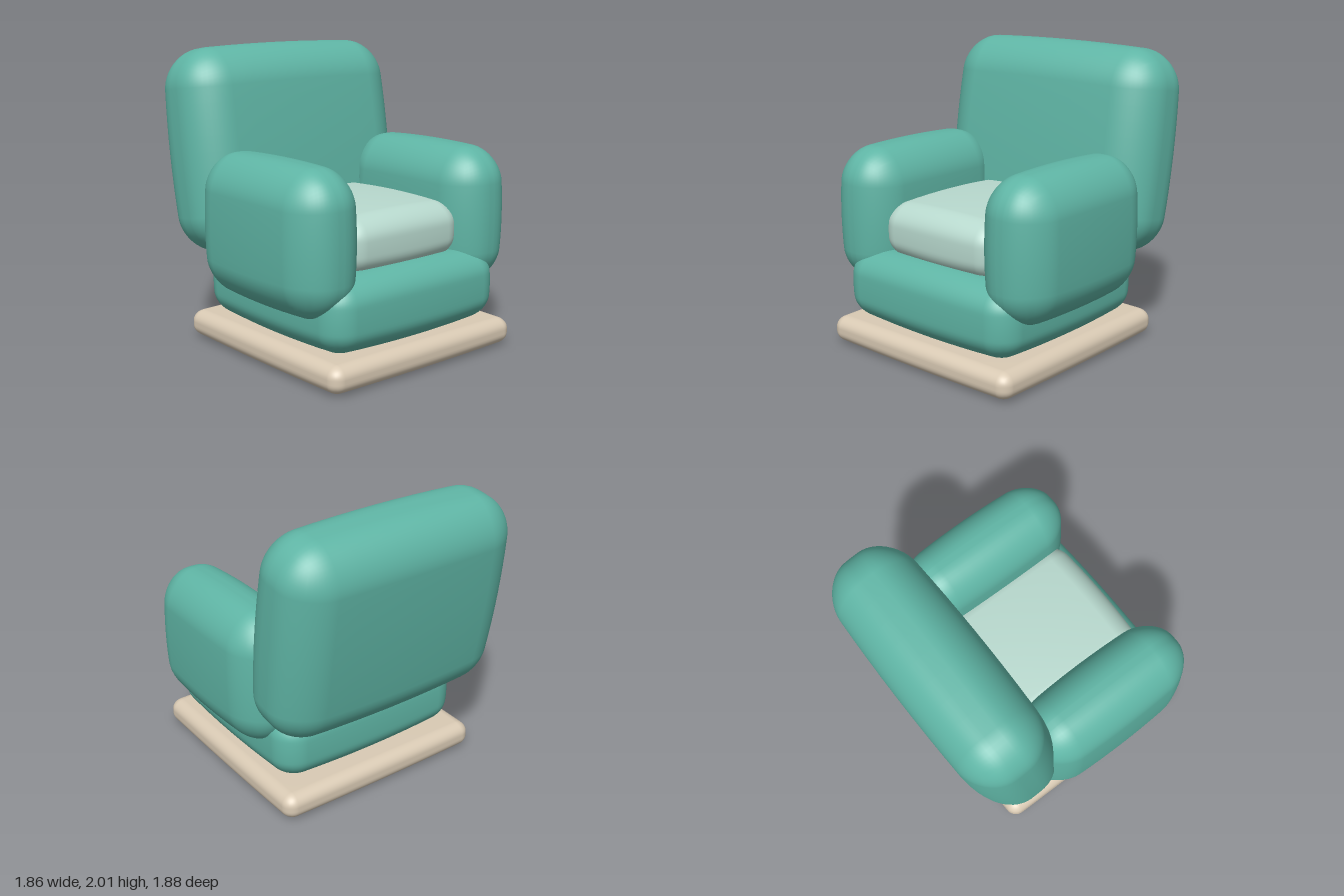
import * as THREE from 'three';
import { mergeVertices } from 'three/addons/utils/BufferGeometryUtils.js';

// Rounded box with softly bulging faces, like stuffed upholstery.
// size: full extents, r: edge radius, puff: how far faces swell
function pillow(size, r, puff) {
  const n = 20, flat = 0.4;
  const g = new THREE.BoxGeometry(2, 2, 2, n, n, n);
  g.deleteAttribute('uv');
  g.deleteAttribute('normal');
  const geo = mergeVertices(g, 1e-4);
  const pos = geo.attributes.position;
  const half = size.map((s) => s / 2);
  for (let i = 0; i < pos.count; i++) {
    const t = [pos.getX(i), pos.getY(i), pos.getZ(i)];
    // flat core plus a rounded offset
    const core = t.map((v, k) => Math.max(-1, Math.min(1, v / flat)) * (half[k] - r));
    const dir = new THREE.Vector3(...t.map((v) =>
      Math.sign(v) * Math.tan(Math.max(0, (Math.abs(v) - flat) / (1 - flat)) * Math.PI / 4))).normalize();
    const p = core.map((c, k) => c + dir.getComponent(k) * r);
    // pull each face in towards its borders
    const u = p.map((v, k) => v / half[k]);
    const q = p.map((v, k) => {
      const a = u[(k + 1) % 3], b = u[(k + 2) % 3];
      return v - puff * u[k] * (a * a + b * b);
    });
    pos.setXYZ(i, q[0], q[1], q[2]);
  }
  geo.computeVertexNormals();
  return geo;
}

export function createModel() {
  const group = new THREE.Group();
  const mat = (name, color) => {
    const m = new THREE.MeshStandardMaterial({ color });
    m.name = name;
    return m;
  };
  const teal = mat('teal fabric', 0x5fb5a5);
  const mint = mat('pale mint fabric', 0xb8d9ce);
  const cream = mat('cream plinth', 0xd9cab4);

  const add = (name, material, size, r, puff, [x, y, z], tilt = 0) => {
    const mesh = new THREE.Mesh(pillow(size, r, puff), material);
    mesh.name = name;
    mesh.position.set(x, y, z);
    mesh.rotation.x = tilt;
    group.add(mesh);
  };

  // plinth and seat
  add('plinth', cream, [1.59, 0.2, 1.59], 0.08, 0.006, [0, 0.1, 0.147]);
  add('seatBase', teal, [1.49, 0.53, 1.44], 0.17, 0.02, [0, 0.43, 0.17]);
  add('seatCushion', mint, [1.04, 0.43, 1.15], 0.15, 0.02, [0, 0.815, 0.175]);

  // reclined backrest
  add('backrest', teal, [1.77, 1.42, 0.645], 0.26, 0.025, [0, 1.302, -0.565], -0.14);

  // arms
  for (const [side, name] of [[1, 'leftArm'], [-1, 'rightArm']]) {
    add(name, teal, [0.54, 0.96, 1.25], 0.235, 0.025, [side * 0.658, 0.88, 0.22]);
  }
  return group;
}
